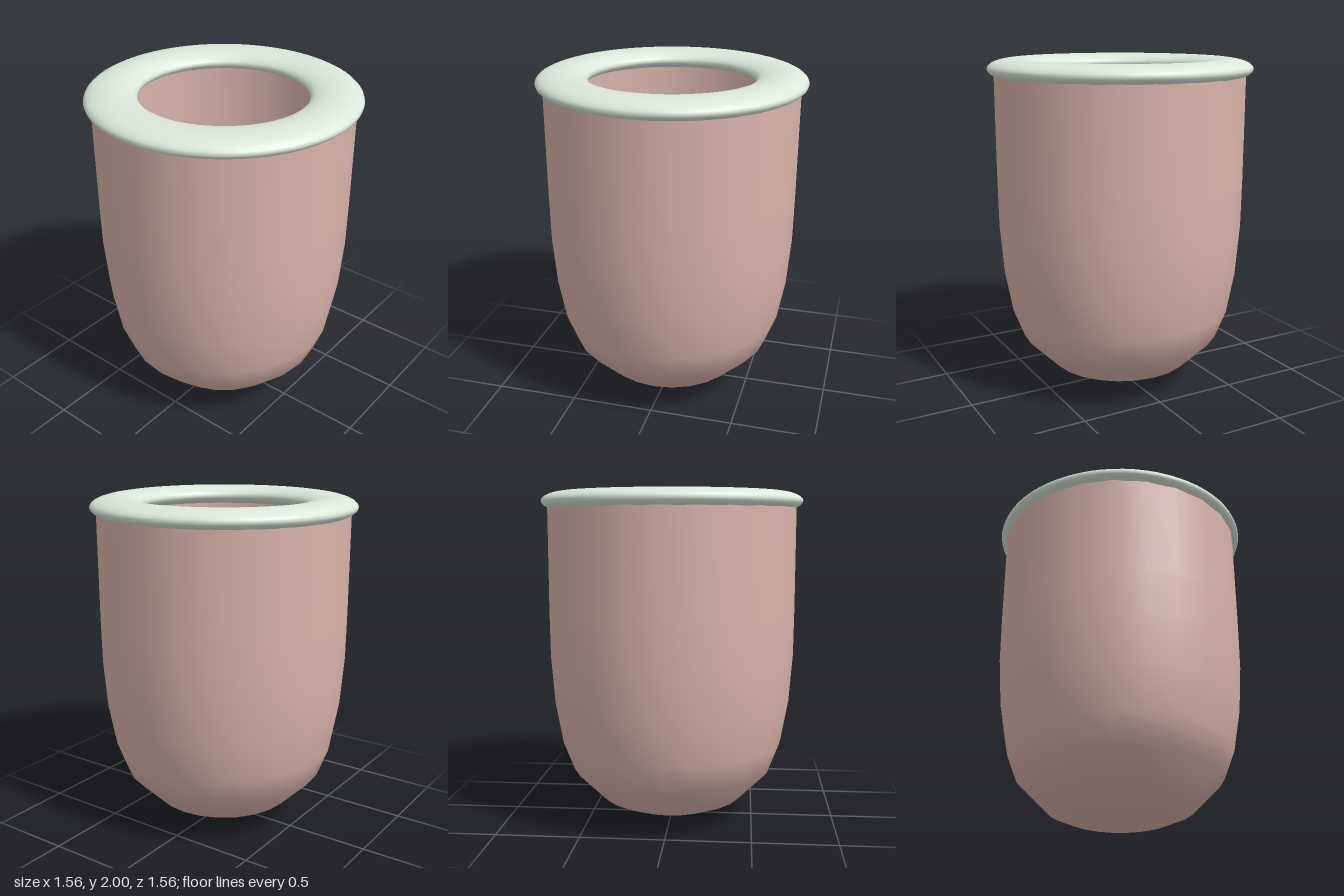
import * as THREE from 'three';

export function createModel() {
  const group = new THREE.Group();

  // Thin-walled cup, open at the top, tapering to a shallow point
  const profile = [
    [0, 0], [0.31, 0.08], [0.43, 0.13], [0.61, 0.31], [0.675, 0.48],
    [0.72, 0.73], [0.742, 1.02], [0.745, 1.3], [0.745, 1.93],
  ].map(([x, y]) => new THREE.Vector2(x, y));
  const cup = new THREE.Mesh(
    new THREE.LatheGeometry(profile, 24),
    new THREE.MeshStandardMaterial({ color: 0xd9b4aa, side: THREE.DoubleSide })
  );
  cup.name = 'cup';
  group.add(cup);

  // Flattened ring around the mouth
  const ring = new THREE.TorusGeometry(0.632, 0.15, 24, 72);
  ring.rotateX(Math.PI / 2);
  ring.scale(1, 0.385, 1);
  ring.translate(0, 1.942, 0);
  const rim = new THREE.Mesh(ring, new THREE.MeshStandardMaterial({ color: 0xdbe8db }));
  rim.name = 'rim';
  group.add(rim);

  return group;
}
